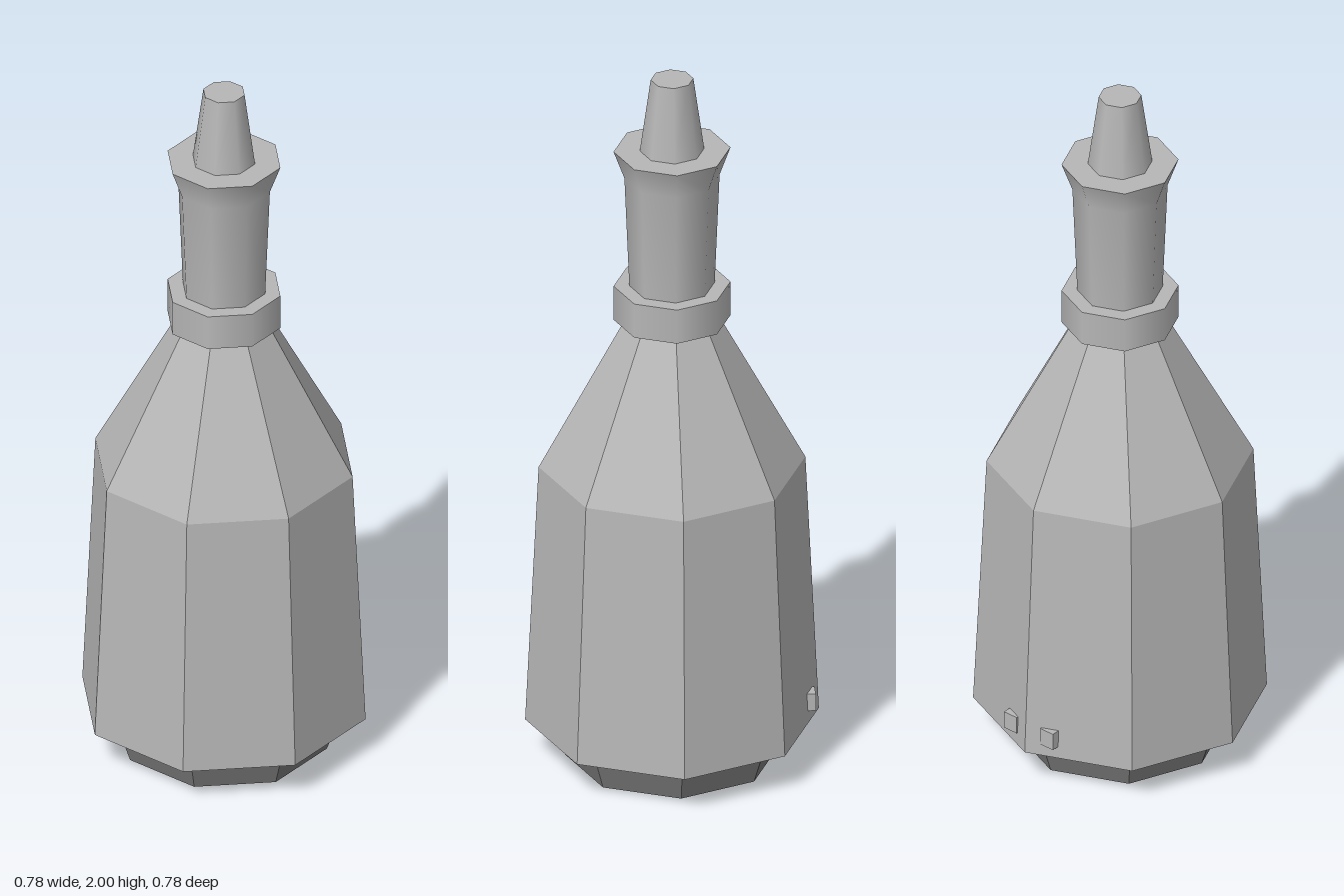
import * as THREE from 'three';

const SIDES = 8;

export function createModel() {
  const group = new THREE.Group();
  // Double-sided because the body shell is open underneath
  const grey = new THREE.MeshStandardMaterial({ color: 0xb8b7b8, side: THREE.DoubleSide });
  grey.name = 'light grey';
  const dark = new THREE.MeshStandardMaterial({ color: 0x7c7c7c });
  dark.name = 'dark grey';

  function add(name, geo, material, x, y, z) {
    const mesh = new THREE.Mesh(geo, material);
    mesh.name = name;
    mesh.position.set(x, y, z);
    group.add(mesh);
    return mesh;
  }

  // Octagonal section from y0 (radius r0) up to y1 (radius r1)
  function section(name, y0, r0, y1, r1, material, { faceted = false, open = false } = {}) {
    let geo = new THREE.CylinderGeometry(r1, r0, y1 - y0, SIDES, 1, open);
    if (faceted) {
      geo = geo.toNonIndexed();
      geo.computeVertexNormals();
    }
    add(name, geo, material, 0, (y0 + y1) / 2, 0);
  }

  // Faceted lower half: plinth (dark sides and top, light underside) inside an open shell
  section('base', 0, 0.285, 0.11, 0.322, [dark, dark, grey], { faceted: true });
  section('body', 0.11, 0.392, 0.86, 0.356, grey, { faceted: true, open: true });
  section('shoulder', 0.86, 0.356, 1.29, 0.125, grey, { faceted: true, open: true });

  // Smooth collar and nozzle
  section('collar', 1.29, 0.156, 1.39, 0.156, grey);
  section('nozzle', 1.79, 0.086, 2, 0.057, grey);

  // Neck flaring smoothly to a flat rim
  const profile = [[0.114, 1.39], [0.127, 1.71], [0.156, 1.79]].map(([r, y]) => new THREE.Vector2(r, y));
  add('neck', new THREE.LatheGeometry(profile, SIDES), grey, 0, 0, 0);
  add('neckRim', new THREE.CircleGeometry(0.156, SIDES), grey, 0, 1.79, 0).rotation.x = -Math.PI / 2;

  // Two small lugs low on the back
  for (const side of [-1, 1]) {
    const name = side > 0 ? 'leftLug' : 'rightLug';
    add(name, new THREE.BoxGeometry(0.044, 0.05, 0.045), grey, side * 0.063, 0.17, -0.354);
  }

  return group;
}
